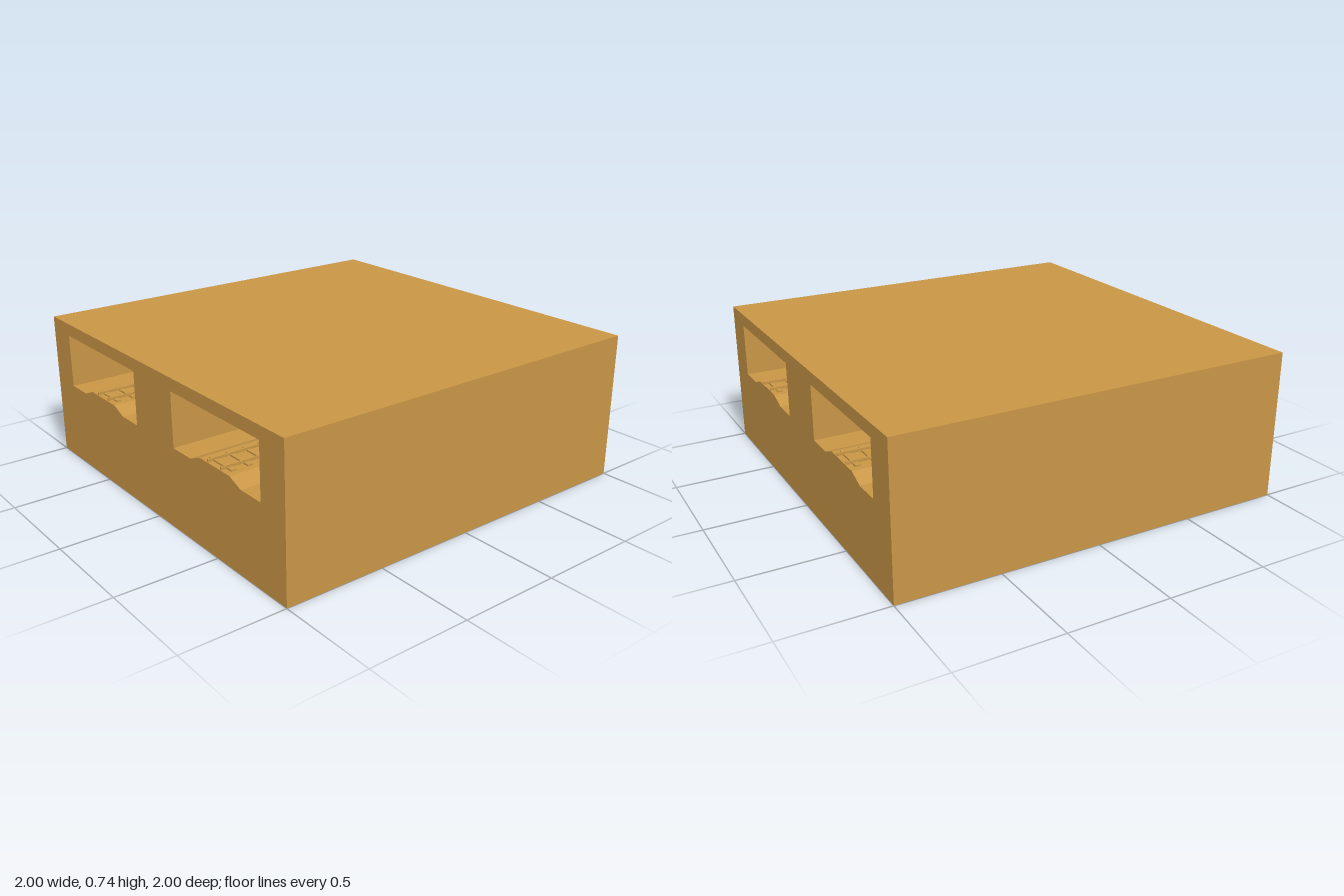
import * as THREE from 'three';

const H = 0.735, D = 2;
const mat = new THREE.MeshStandardMaterial({ color: 0xc89646, side: THREE.DoubleSide, flatShading: true });

// Tunnel outline around its centre line, anticlockwise, with the raised track bed
const outline = [
  [-0.335, 0.403], [-0.195, 0.403], [-0.115, 0.435], [0.115, 0.435],
  [0.195, 0.403], [0.335, 0.403], [0.335, 0.672], [-0.335, 0.672],
];

function add(parent, name, geometry, x = 0, y = 0, z = 0) {
  const mesh = new THREE.Mesh(geometry, mat);
  mesh.name = name;
  mesh.position.set(x, y, z);
  parent.add(mesh);
  return mesh;
}

// Walls, floor and ceiling of a tunnel, open at both ends
function tunnelGeometry() {
  const pos = [];
  outline.forEach(([ax, ay], i) => {
    const [bx, by] = outline[(i + 1) % outline.length];
    const a = [ax, ay, 1], b = [bx, by, 1], c = [bx, by, -1], d = [ax, ay, -1];
    pos.push(...a, ...b, ...c, ...a, ...c, ...d);
  });
  const g = new THREE.BufferGeometry();
  g.setAttribute('position', new THREE.Float32BufferAttribute(pos, 3));
  g.computeVertexNormals();
  return g;
}

// End wall pierced by the two tunnel mouths
function endWallGeometry() {
  const shape = new THREE.Shape([[-1, 0], [1, 0], [1, H], [-1, H]].map(p => new THREE.Vector2(...p)));
  for (const cx of [-0.5, 0.5]) {
    shape.holes.push(new THREE.Path(outline.map(([x, y]) => new THREE.Vector2(cx + x, y))));
  }
  return new THREE.ShapeGeometry(shape);
}

export function createModel() {
  const model = new THREE.Group();
  model.name = 'twinRailTunnel';

  // Hollow shell, open underneath
  const wall = endWallGeometry();
  add(model, 'frontWall', wall, 0, 0, 1);
  add(model, 'backWall', wall, 0, 0, -1).rotation.y = Math.PI;
  for (const s of [-1, 1]) {
    add(model, s > 0 ? 'leftWall' : 'rightWall', new THREE.PlaneGeometry(D, H), s, H / 2, 0).rotation.y = s * Math.PI / 2;
  }
  add(model, 'roof', new THREE.PlaneGeometry(2, D), 0, H, 0).rotation.x = -Math.PI / 2;

  // Two tunnels, each with a track
  const lining = tunnelGeometry();
  const railGeo = new THREE.BoxGeometry(0.008, 0.013, D);
  const tieGeo = new THREE.BoxGeometry(0.17, 0.008, 0.026);
  const ties = 24;
  for (const cx of [-0.5, 0.5]) {
    const tunnel = new THREE.Group();
    tunnel.name = cx > 0 ? 'leftTunnel' : 'rightTunnel';
    tunnel.position.x = cx;
    add(tunnel, 'lining', lining);
    for (const s of [-1, 1]) add(tunnel, 'rail', railGeo, s * 0.05, 0.4455, 0);
    for (let i = 0; i < ties; i++) {
      add(tunnel, 'sleeper', tieGeo, 0, 0.4385, -1 + (i + 0.5) * D / ties);
    }
    model.add(tunnel);
  }
  return model;
}
